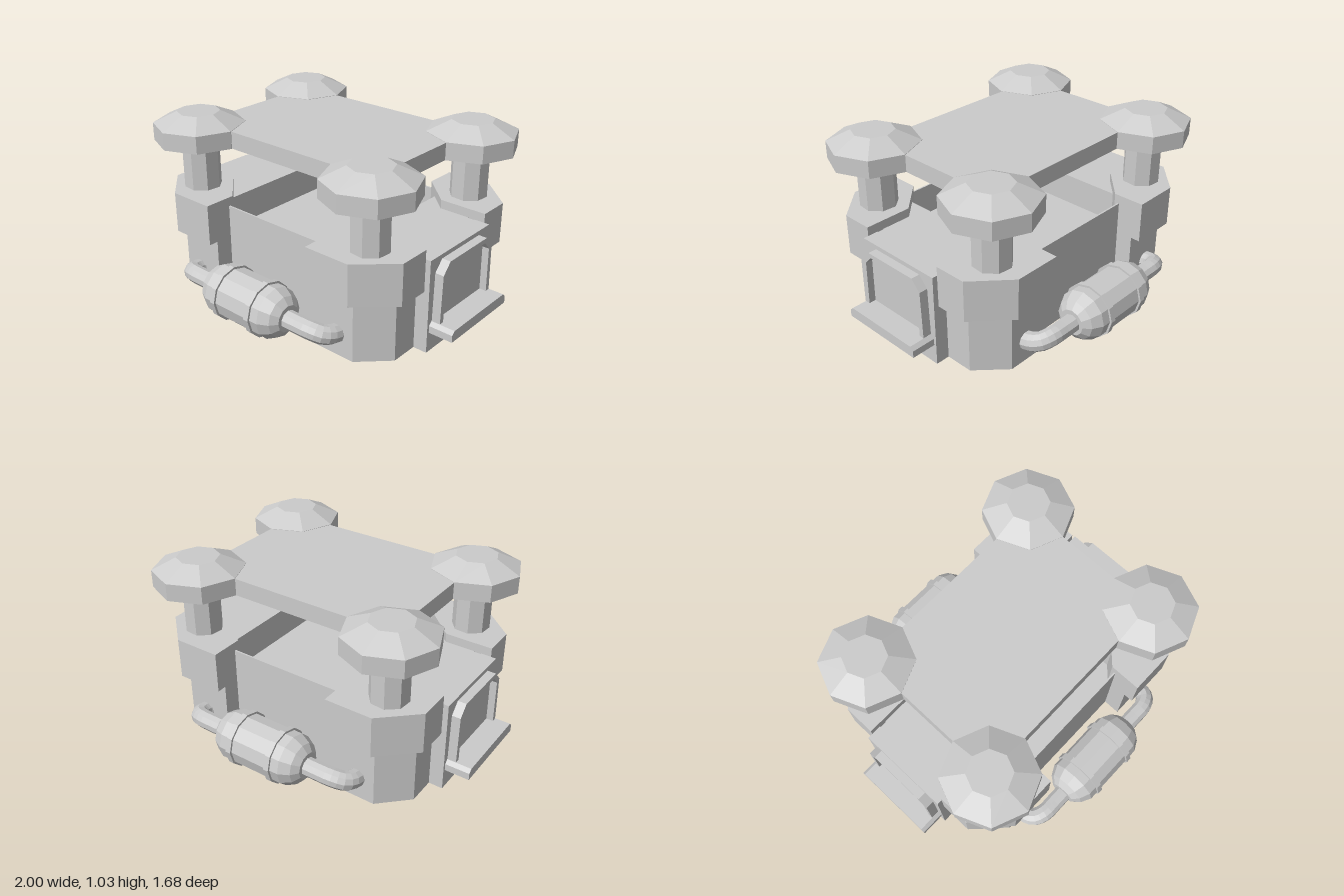
import * as THREE from 'three';

const grey = new THREE.MeshStandardMaterial({ color: 0xcccccc, flatShading: true, side: THREE.DoubleSide });

function add(parent, geometry, name, x = 0, y = 0, z = 0) {
  const mesh = new THREE.Mesh(geometry, grey);
  mesh.name = name;
  mesh.position.set(x, y, z);
  parent.add(mesh);
  return mesh;
}

// Box given by its min and max corners
function block(parent, name, [x0, y0, z0], [x1, y1, z1]) {
  return add(parent, new THREE.BoxGeometry(x1 - x0, y1 - y0, z1 - z0), name,
    (x0 + x1) / 2, (y0 + y1) / 2, (z0 + z1) / 2);
}

const polygon = (pts) => pts.map(([a, b]) => new THREE.Vector2(a, b));

function extrude(outline, depth, hole) {
  const shape = new THREE.Shape(polygon(outline));
  if (hole) shape.holes.push(new THREE.Path(polygon(hole)));
  return new THREE.ExtrudeGeometry(shape, { depth, bevelEnabled: false });
}

// Plan outline in x, z raised along y
const raise = (outline, height, hole) => extrude(outline, height, hole).rotateX(-Math.PI / 2);

// Side outline in z, y extruded along +x
const sideways = (outline, depth, hole) => extrude(outline, depth, hole).rotateY(Math.PI / 2);

// Mirror a quarter outline into a closed, four-way symmetric loop
function fourWay(q) {
  const r = [...q].reverse();
  return [
    ...q,
    ...r.map(([x, z]) => [-x, z]),
    ...q.map(([x, z]) => [-x, -z]),
    ...r.map(([x, z]) => [x, -z]),
  ];
}

function makeHull(root) {
  // Thin lower shell, open underneath
  const outer = fourWay([[0.86, 0.27], [0.78, 0.27], [0.78, 0.43], [0.625, 0.58], [0.36, 0.58], [0.36, 0.48]]);
  const inner = fourWay([[0.85, 0.26], [0.77, 0.26], [0.77, 0.426], [0.621, 0.57], [0.37, 0.57], [0.37, 0.47]]);
  add(root, raise(outer, 0.535, inner), 'hullShell');

  // Sunken floor between two raised side decks
  block(root, 'sunkenFloor', [-0.43, 0.345, -0.475], [0.43, 0.355, 0.475]);
  for (const s of [-1, 1]) {
    const deck = new THREE.Group();
    deck.name = 'sideDeck';
    block(deck, 'deckTop', [0.43, 0.525, -0.45], [0.73, 0.535, 0.45]);
    block(deck, 'deckOuterTop', [0.73, 0.525, -0.265], [0.855, 0.535, 0.265]);
    block(deck, 'deckWall', [0.43, 0.345, -0.45], [0.44, 0.53, 0.45]);
    deck.rotation.y = s > 0 ? 0 : Math.PI;
    root.add(deck);
  }
}

function makeCorner(sx, sz) {
  const corner = new THREE.Group();
  corner.name = 'cornerTower';
  const collar = [[0.36, 0.635], [0.635, 0.635], [0.83, 0.455], [0.83, 0.27], [0.55, 0.27], [0.36, 0.45]];
  const hollow = [[0.37, 0.57], [0.621, 0.57], [0.77, 0.426], [0.77, 0.28], [0.557, 0.28], [0.37, 0.457]];
  const place = (pts) => pts.map(([x, z]) => [x * sx, -z * sz]);
  add(corner, raise(place(collar), 0.227, place(hollow)), 'towerCollar', 0, 0.35, 0);
  add(corner, raise(place(collar), 0.01), 'towerTop', 0, 0.577, 0);

  // Column runs down inside the hollow tower
  const x = 0.615 * sx, z = 0.44 * sz;
  const column = new THREE.CylinderGeometry(0.107, 0.107, 0.63, 8, 1, true);
  add(corner, column, 'column', x, 0.565, z).rotation.y = 0.3;
  add(corner, new THREE.CylinderGeometry(0.257, 0.257, 0.1, 8), 'capRim', x, 0.915, z);
  add(corner, new THREE.CylinderGeometry(0.12, 0.257, 0.065, 8), 'capTop', x, 0.9975, z);
  return corner;
}

function makeTank(side) {
  const tank = new THREE.Group();
  tank.name = 'tankAssembly';
  const y = 0.165, z = 0.685;

  // Barrel with rounded ends, turned along x
  const profile = polygon([[0, -0.285], [0.075, -0.285], [0.115, -0.253], [0.145, -0.195],
    [0.145, 0.195], [0.115, 0.253], [0.075, 0.285], [0, 0.285]]);
  add(tank, new THREE.LatheGeometry(profile, 12).rotateZ(Math.PI / 2), 'tank', 0, y, z);

  for (const s of [-1, 1]) {
    const band = new THREE.CylinderGeometry(0.157, 0.157, 0.032, 12).rotateZ(Math.PI / 2);
    add(tank, band, 'tankBand', 0.128 * s, y, z);

    // Feed pipe curling back into the tower
    const path = new THREE.CatmullRomCurve3([
      [0.25, 0.163, 0.687], [0.36, 0.163, 0.687], [0.44, 0.163, 0.685],
      [0.497, 0.148, 0.657], [0.518, 0.135, 0.605], [0.51, 0.122, 0.535],
    ].map(([px, py, pz]) => new THREE.Vector3(px * s, py, pz)));
    add(tank, new THREE.TubeGeometry(path, 14, 0.052, 10), 'feedPipe');
  }
  tank.rotation.y = side > 0 ? 0 : Math.PI;
  return tank;
}

function makeDoor(side) {
  const door = new THREE.Group();
  door.name = 'sideDoor';
  const frame = [[-0.235, 0.13], [0.235, 0.13], [0.225, 0.45], [0.17, 0.51], [-0.17, 0.51], [-0.225, 0.45]];
  const opening = [[-0.205, 0.16], [0.205, 0.16], [0.2, 0.435], [0.155, 0.485], [-0.155, 0.485], [-0.2, 0.435]];
  add(door, sideways(frame, 0.06, opening), 'doorFrame', 0.85, 0, 0);
  add(door, sideways(opening, 0.02), 'doorPanel', 0.85, 0, 0);

  // Doorstep with bevelled ends
  const step = [[-0.255, 0.115], [0.255, 0.115], [0.255, 0.155], [0.235, 0.175], [-0.235, 0.175], [-0.255, 0.155]];
  add(door, sideways(step, 0.15), 'doorStep', 0.85, 0, 0);
  door.rotation.y = side > 0 ? 0 : Math.PI;
  return door;
}

export function createModel() {
  const root = new THREE.Group();
  root.name = 'fourTowerBase';
  makeHull(root);

  // Roof carried by the four columns
  block(root, 'roofSlab', [-0.615, 0.865, -0.44], [0.615, 0.963, 0.435]);
  block(root, 'roofUnderside', [-0.42, 0.786, -0.27], [0.415, 0.865, 0.25]);

  for (const s of [-1, 1]) {
    for (const t of [-1, 1]) root.add(makeCorner(s, t));
    root.add(makeTank(s), makeDoor(s));
  }
  return root;
}
